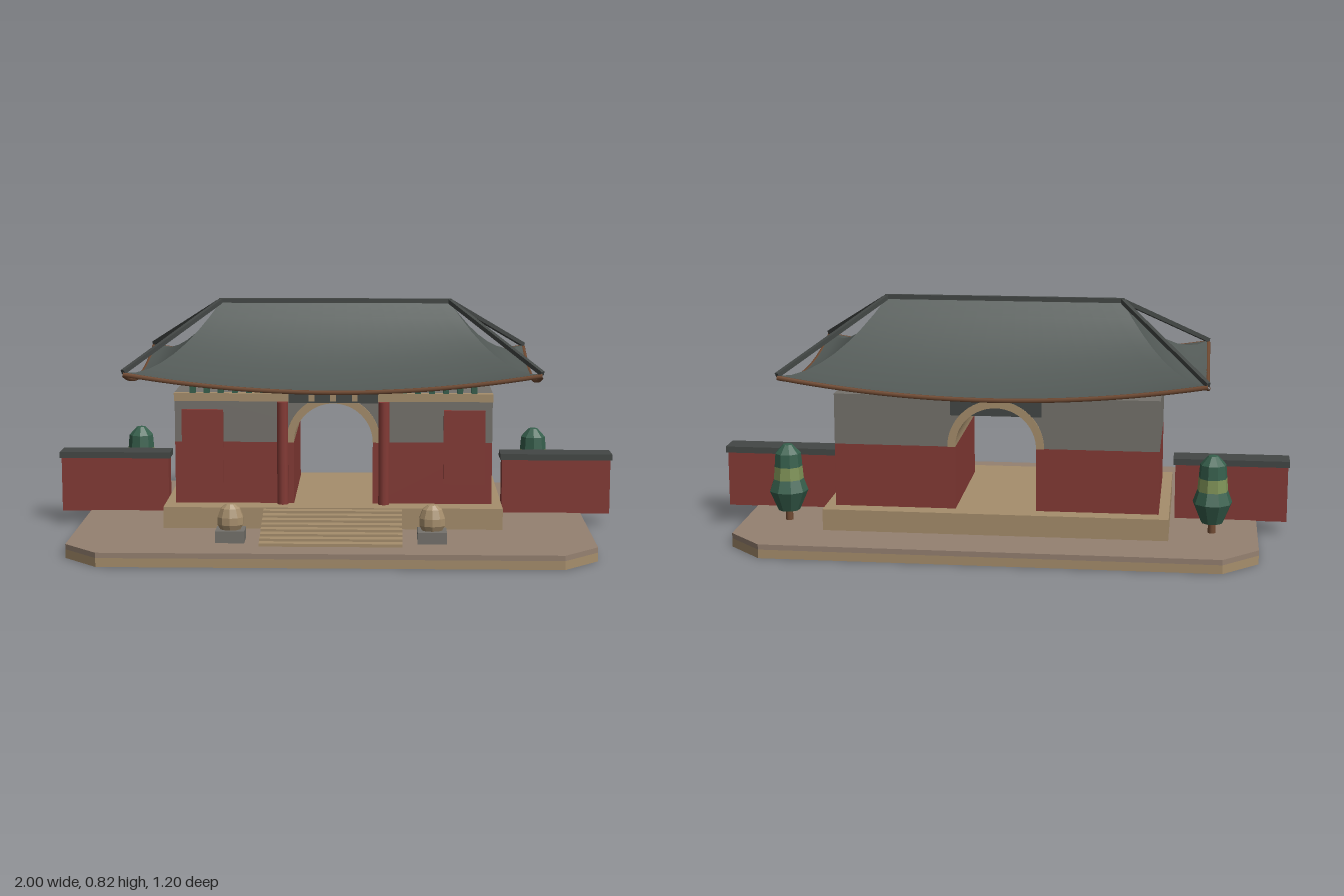
import * as THREE from 'three';

const mat = (name, color, flatShading = false) => {
  const m = new THREE.MeshStandardMaterial({ color, flatShading });
  m.name = name;
  return m;
};

export function createModel() {
  const model = new THREE.Group();
  model.name = 'templeGate';
  const M = {
    red: mat('red plaster', 0x843a35),
    gray: mat('gray wall', 0x75726c),
    tan: mat('tan stone', 0xa68e6c, true),
    paving: mat('paving', 0x958171),
    slate: mat('slate roof', 0x525956),
    dark: mat('dark slate', 0x434745),
    brown: mat('brown timber', 0x704a32),
    green: mat('dark green', 0x365f4c, true),
    lime: mat('light green', 0x7f9257, true),
  };
  M.slate.side = THREE.DoubleSide;

  const add = (name, geo, material, x = 0, y = 0, z = 0) => {
    const mesh = new THREE.Mesh(geo, material);
    mesh.name = name;
    mesh.position.set(x, y, z);
    model.add(mesh);
    return mesh;
  };
  // Box given by its lower and upper limits on each axis
  const box = (name, material, [x0, x1], [y0, y1], [z0, z1]) =>
    add(name, new THREE.BoxGeometry(x1 - x0, y1 - y0, z1 - z0), material,
      (x0 + x1) / 2, (y0 + y1) / 2, (z0 + z1) / 2);
  const span = (a, b, side) => (side > 0 ? [a, b] : [-b, -a]);
  const extrude = (shape, depth) =>
    new THREE.ExtrudeGeometry(shape, { depth, bevelEnabled: false, curveSegments: 16 });

  // Ground slab with cut corners, in two layers
  const W = 0.89, D = 0.6, C = 0.12;
  const slab = new THREE.Shape([
    [-W, -D + C], [-W + C, -D], [W - C, -D], [W, -D + C],
    [W, D - C], [W - C, D], [-W + C, D], [-W, D - C],
  ].map(([x, y]) => new THREE.Vector2(x, y)));
  add('slabBase', extrude(slab, 0.03).rotateX(-Math.PI / 2), M.tan);
  add('slabPaving', extrude(slab, 0.018).rotateX(-Math.PI / 2), M.paving, 0, 0.03, 0);

  // Platform and front stairs
  box('platform', M.tan, [-0.59, 0.59], [0.048, 0.122], [-0.41, 0.23]);
  for (let i = 0; i < 8; i++) {
    box('step', M.tan, [-0.24, 0.24], [0.048, 0.05 + (i + 1) * 0.0085], [0.22, 0.5 - i * 0.034]);
  }

  // Gatehouse walls: red below, gray with the arch above
  const back = -0.35, front = 0.15, spring = 0.34, R = 0.138;
  for (const s of [1, -1]) box('lowerWall', M.red, span(R, 0.555, s), [0.122, spring], [back, front]);
  const upper = new THREE.Shape();
  upper.moveTo(R + 0.01, 0);
  upper.lineTo(0.555, 0);
  upper.lineTo(0.555, 0.175);
  upper.lineTo(-0.555, 0.175);
  upper.lineTo(-0.555, 0);
  upper.lineTo(-R - 0.01, 0);
  upper.absarc(0, 0, R + 0.01, Math.PI, 0, true);
  add('upperWall', extrude(upper, front - back), M.gray, 0, spring, back);

  // Stone arch lining through the passage
  const ring = new THREE.Shape();
  ring.absarc(0, 0, 0.165, 0, Math.PI, false);
  ring.absarc(0, 0, R, Math.PI, 0, true);
  add('archLining', extrude(ring, front - back + 0.012), M.tan, 0, spring, back - 0.005);

  // Lintels, beams and studs over the passage
  box('backLintel', M.dark, [-0.155, 0.155], [0.45, 0.5], [back - 0.003, back + 0.01]);
  box('frontLintel', M.dark, [-0.155, 0.155], [0.483, 0.516], [front - 0.01, 0.18]);
  box('timberRail', M.brown, [-0.175, 0.175], [0.516, 0.528], [front - 0.01, 0.186]);
  for (let i = -1; i <= 1; i++) {
    box('lintelStud', M.tan, [i * 0.075 - 0.01, i * 0.075 + 0.01], [0.489, 0.512], [0.17, 0.185]);
  }

  for (const s of [1, -1]) {
    box('wallBeam', M.tan, span(0.155, 0.555, s), [0.487, 0.515], [front - 0.005, 0.172]);
    box('wallPanel', M.red, span(0.385, 0.53, s), [0.195, 0.455], [front - 0.005, 0.164]);
    add('column', new THREE.CylinderGeometry(0.02, 0.02, 0.362, 10), M.red, s * 0.177, 0.303, 0.162);

    // Side walls with caps
    box('sideWall', M.red, span(0.605, 0.995, s), [0.046, 0.245], [-0.124, -0.052]);
    box('sideWallCap', M.dark, span(0.598, 1, s), [0.243, 0.265], [-0.136, -0.042]);
  }

  // Row of brackets below the front eave
  for (let i = -10; i <= 10; i++) {
    box('bracket', M.green, [i * 0.049 - 0.01, i * 0.049 + 0.01], [0.513, 0.545], [0.138, 0.167]);
  }

  // Curved hip roof: t runs from ridge to eave, s along each side
  const RX = 0.41, EX = 0.71, ZC = -0.1, EZ = 0.412, RY = 0.813;
  const roofPoint = (k, s, t) => {
    const y = 0.545 + (RY - 0.545) * (1 - t) ** 1.67 + 0.06 * s * s * t * t;
    const hx = RX + (EX - RX) * t, hz = EZ * t;
    const dir = k < 2 ? 1 : -1;
    return k % 2 === 0
      ? new THREE.Vector3(dir * s * hx, y, ZC + dir * hz)
      : new THREE.Vector3(dir * hx, y, ZC - dir * s * hz);
  };
  const NS = 20, NT = 8;
  for (let k = 0; k < 4; k++) {
    const pos = [], idx = [], eave = [];
    for (let j = 0; j <= NT; j++) {
      for (let i = 0; i <= NS; i++) {
        const p = roofPoint(k, (2 * i) / NS - 1, j / NT);
        pos.push(p.x, p.y, p.z);
        if (j === NT) eave.push(p.clone().setY(p.y - 0.006));
        if (i < NS && j < NT) {
          const a = j * (NS + 1) + i, b = a + NS + 1;
          idx.push(a, b, b + 1, a, b + 1, a + 1);
        }
      }
    }
    const geo = new THREE.BufferGeometry();
    geo.setAttribute('position', new THREE.Float32BufferAttribute(pos, 3));
    geo.setIndex(idx);
    geo.computeVertexNormals();
    add('roofSlope', geo, M.slate);
    add('eaveTrim', new THREE.TubeGeometry(new THREE.CatmullRomCurve3(eave), 24, 0.008, 6), M.brown);
  }

  // Ridge and straight hip ribs
  const rib = (name, a, b, size) => {
    const mesh = add(name, new THREE.BoxGeometry(size, size, a.distanceTo(b)), M.dark);
    mesh.position.copy(a).add(b).multiplyScalar(0.5);
    mesh.lookAt(b);
  };
  const V = (x, y, z) => new THREE.Vector3(x, y, z);
  rib('ridge', V(-RX - 0.008, RY, ZC), V(RX + 0.008, RY, ZC), 0.016);
  for (const sx of [1, -1]) for (const sz of [1, -1]) {
    rib('hipRib', V(sx * RX, RY, ZC), V(sx * EX, 0.607, ZC + sz * EZ), 0.015);
  }

  // Lathe from radius and height pairs
  const lathe = (pts, n) => new THREE.LatheGeometry(pts.map(([r, y]) => new THREE.Vector2(r, y)), n);
  for (const s of [1, -1]) {
    // Clipped trees
    const x = s * 0.735, z = -0.29;
    add('treeTrunk', new THREE.CylinderGeometry(0.012, 0.014, 0.06, 8), M.brown, x, 0.075, z);
    add('treeLower', lathe([[0, 0.08], [0.038, 0.085], [0.068, 0.155], [0.053, 0.197]], 9), M.green, x, 0, z);
    add('treeMiddle', lathe([[0.053, 0.197], [0.049, 0.242]], 9), M.lime, x, 0, z);
    add('treeTop', lathe([[0.049, 0.242], [0.045, 0.288], [0.017, 0.318], [0, 0.321]], 9), M.green, x, 0, z);

    // Guardian stones on plinths
    box('plinth', M.gray, [s * 0.34 - 0.049, s * 0.34 + 0.049], [0.046, 0.088], [0.37, 0.455]);
    const stone = add('guardianStone',
      lathe([[0.034, 0.086], [0.045, 0.105], [0.045, 0.13], [0.034, 0.16], [0.016, 0.174], [0, 0.176]], 10),
      M.tan, s * 0.34, 0, 0.413);
    stone.scale.z = 0.75;
  }

  return model;
}
